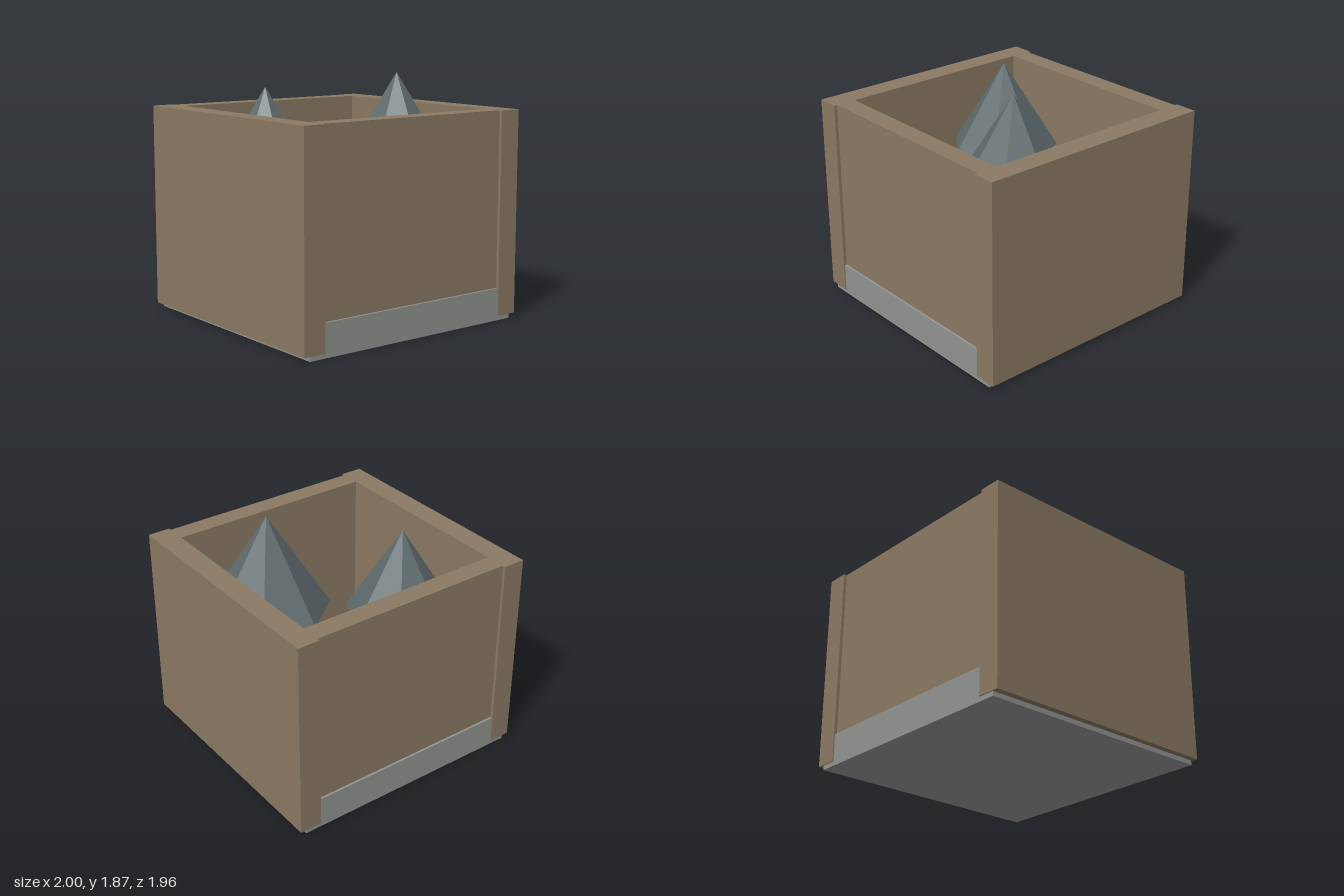
import * as THREE from 'three';

const wood = new THREE.MeshStandardMaterial({ color: 0x8b7a63 });
wood.name = 'wood brown';
const concrete = new THREE.MeshStandardMaterial({ color: 0x929492 });
concrete.name = 'concrete grey';
const slate = new THREE.MeshStandardMaterial({ color: 0x5f6b6e, flatShading: true });
slate.name = 'slate grey';

// Box given by its min and max corners
function box(name, material, [x0, y0, z0], [x1, y1, z1]) {
  const mesh = new THREE.Mesh(new THREE.BoxGeometry(x1 - x0, y1 - y0, z1 - z0), material);
  mesh.position.set((x0 + x1) / 2, (y0 + y1) / 2, (z0 + z1) / 2);
  mesh.name = name;
  return mesh;
}

// Seven-sided pointed pile with one corner towards +x
function pile(name, x, z, radius, base, tip) {
  const geometry = new THREE.ConeGeometry(radius, tip - base, 7);
  geometry.rotateY(Math.PI / 2);
  const mesh = new THREE.Mesh(geometry, slate);
  mesh.position.set(x, (base + tip) / 2, z);
  mesh.name = name;
  return mesh;
}

export function createModel() {
  const group = new THREE.Group();
  group.name = 'crate';

  // Floor slab
  group.add(box('floorSlab', concrete, [-0.95, 0, -0.972], [0.95, 0.25, 0.972]));

  // Side panels overlap the ends of the slab
  group.add(box('leftPanel', wood, [0.825, 0.035, -0.98], [1, 1.6, 0.98]));
  group.add(box('rightPanel', wood, [-1, 0.035, -0.98], [-0.825, 1.6, 0.98]));

  // Front and back panels stand on the slab, set slightly in
  group.add(box('frontPanel', wood, [-0.825, 0.25, 0.797], [0.825, 1.6, 0.955]));
  group.add(box('backPanel', wood, [-0.825, 0.25, -0.955], [0.825, 1.6, -0.797]));

  // Pointed piles inside
  group.add(pile('largePile', 0.4, 0.275, 0.475, 1.1, 1.867));
  group.add(pile('smallPile', -0.4, -0.325, 0.423, 1.07, 1.755));

  return group;
}
